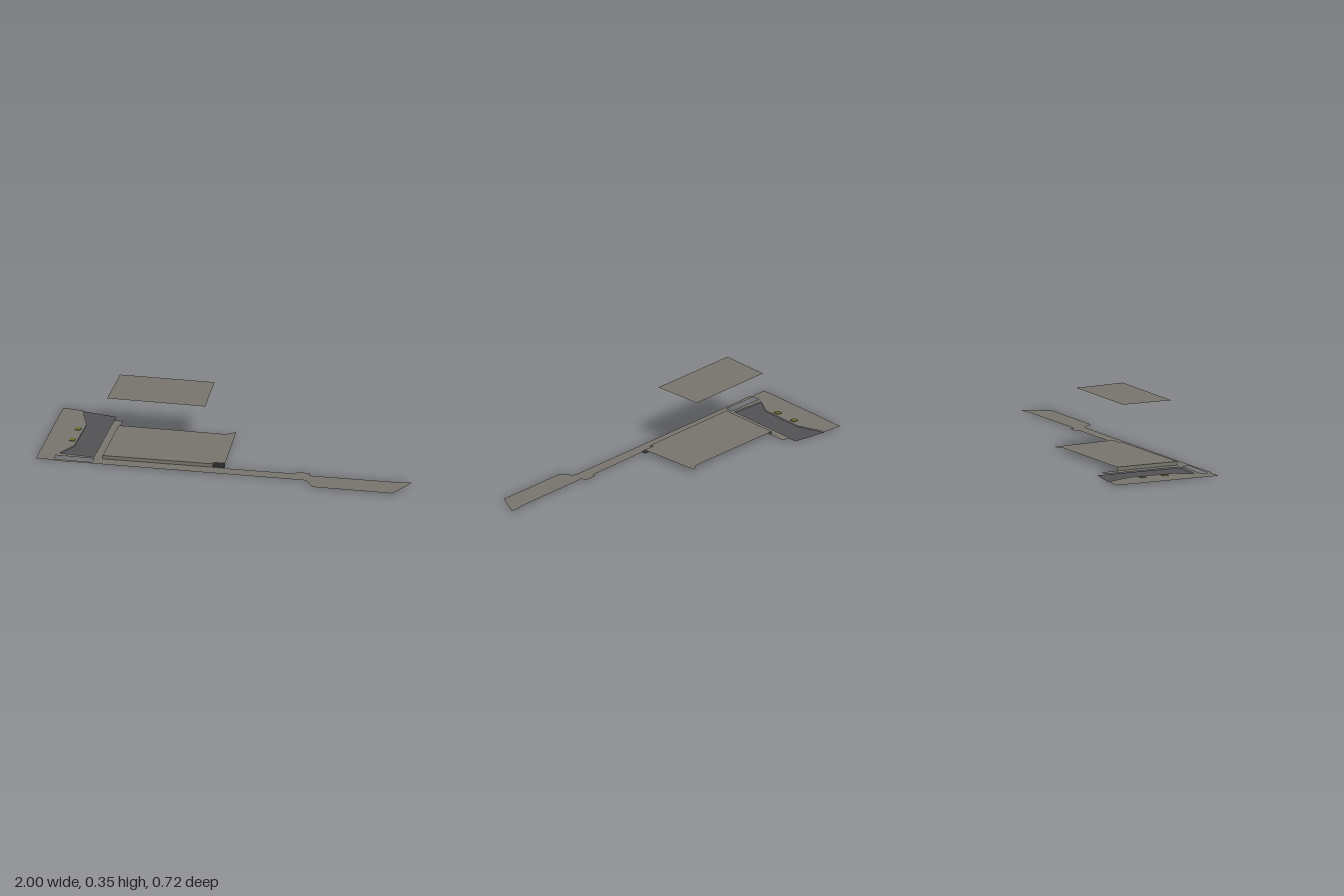
import * as THREE from 'three';

export function createModel() {
  const model = new THREE.Group();
  const mat = (name, color) => {
    const m = new THREE.MeshStandardMaterial({ color, side: THREE.DoubleSide });
    m.name = name;
    return m;
  };
  const concrete = mat('warm grey concrete', 0x77756c);
  const asphalt = mat('dark grey asphalt', 0x525255);
  const olive = mat('olive marking', 0x6c6e30);

  const add = (name, geo, material) => {
    const mesh = new THREE.Mesh(geo, material);
    mesh.name = name;
    model.add(mesh);
    return mesh;
  };
  // Flat sheet from [x, z] corners at height y
  const sheet = (name, pts, y, material) => {
    const shape = new THREE.Shape(pts.map(([x, z]) => new THREE.Vector2(x, -z)));
    const geo = new THREE.ShapeGeometry(shape).rotateX(-Math.PI / 2);
    return add(name, geo.translate(0, y, 0), material);
  };
  // Upright wall between two [x, z] points, front face on the right of a to b
  const wall = (name, a, b, y0, y1, material) => {
    const dx = b[0] - a[0], dz = b[1] - a[1];
    const mesh = add(name, new THREE.PlaneGeometry(Math.hypot(dx, dz), y1 - y0), material);
    mesh.position.set((a[0] + b[0]) / 2, (y0 + y1) / 2, (a[1] + b[1]) / 2);
    mesh.rotation.y = Math.atan2(-dz, dx);
    return mesh;
  };

  const ground = 0.004, deck = 0.024, top = 0.348;

  // Western forecourt and the sunken roadway beside it
  sheet('forecourt', [[-1, -0.215], [-0.895, -0.235], [-0.805, -0.105], [-0.75, 0.135],
    [-0.78, 0.245], [-0.785, 0.275], [-0.77, 0.325], [-0.86, 0.355]], ground, concrete);
  sheet('roadway', [[-0.895, -0.235], [-0.71, -0.26], [-0.60, 0.20], [-0.78, 0.245],
    [-0.75, 0.135], [-0.805, -0.105]], 0, asphalt);

  // Paving that wraps the platform and runs out into the long path
  sheet('pavingAndPath', [[-0.70, -0.215], [-0.655, -0.225], [-0.635, -0.14], [-0.55, 0.198],
    [0, 0.013], [0.06, -0.005], [0.415, -0.125], [0.415, -0.145], [0.48, -0.165], [0.49, -0.14],
    [0.935, -0.29], [0.945, -0.30], [1, -0.318], [0.965, -0.165], [0.565, -0.035],
    [0.505, -0.08], [0.49, -0.08], [-0.58, 0.27], [-0.765, 0.335], [-0.775, 0.315],
    [-0.58, 0.255], [-0.59, 0.215], [-0.785, 0.275], [-0.78, 0.245], [-0.60, 0.20]],
  ground, concrete);

  // Small markings on the forecourt
  for (const [x, z] of [[-0.82, -0.04], [-0.79, 0.082]]) {
    const mark = add('forecourtMarking', new THREE.BoxGeometry(0.028, 0.003, 0.032), olive);
    mark.position.set(x, ground + 0.002, z);
    mark.rotation.y = 0.25;
  }

  // Raised platform: deck with walls on its west and south sides
  sheet('platformDeck', [[-0.635, -0.14], [-0.095, -0.315], [-0.058, -0.36], [0.055, -0.022],
    [-0.005, -0.005], [0, 0.013], [-0.55, 0.198]], deck, concrete);
  wall('westWall', [-0.635, -0.14], [-0.55, 0.198], ground, deck, concrete);
  wall('southWall', [-0.55, 0.198], [0, 0.013], ground, deck, concrete);

  // Steps climbing from the path to the platform
  const steps = 4, run = 0.006, rise = (deck - ground) / steps, tilt = Math.atan2(0.018, 0.06);
  for (let i = 0; i < steps; i++) {
    const h = rise * (i + 1);
    const step = add('step', new THREE.BoxGeometry(0.06, h, run), asphalt);
    const d = (i + 0.5) * run;
    step.position.set(0.03 - d * Math.sin(tilt), ground + h / 2, 0.004 - d * Math.cos(tilt));
    step.rotation.y = tilt;
  }

  // Thin roof hovering over the platform
  sheet('roof', [[-0.605, -0.10], [-0.13, -0.255], [-0.045, 0.01], [-0.54, 0.168]], top, concrete);

  return model;
}
